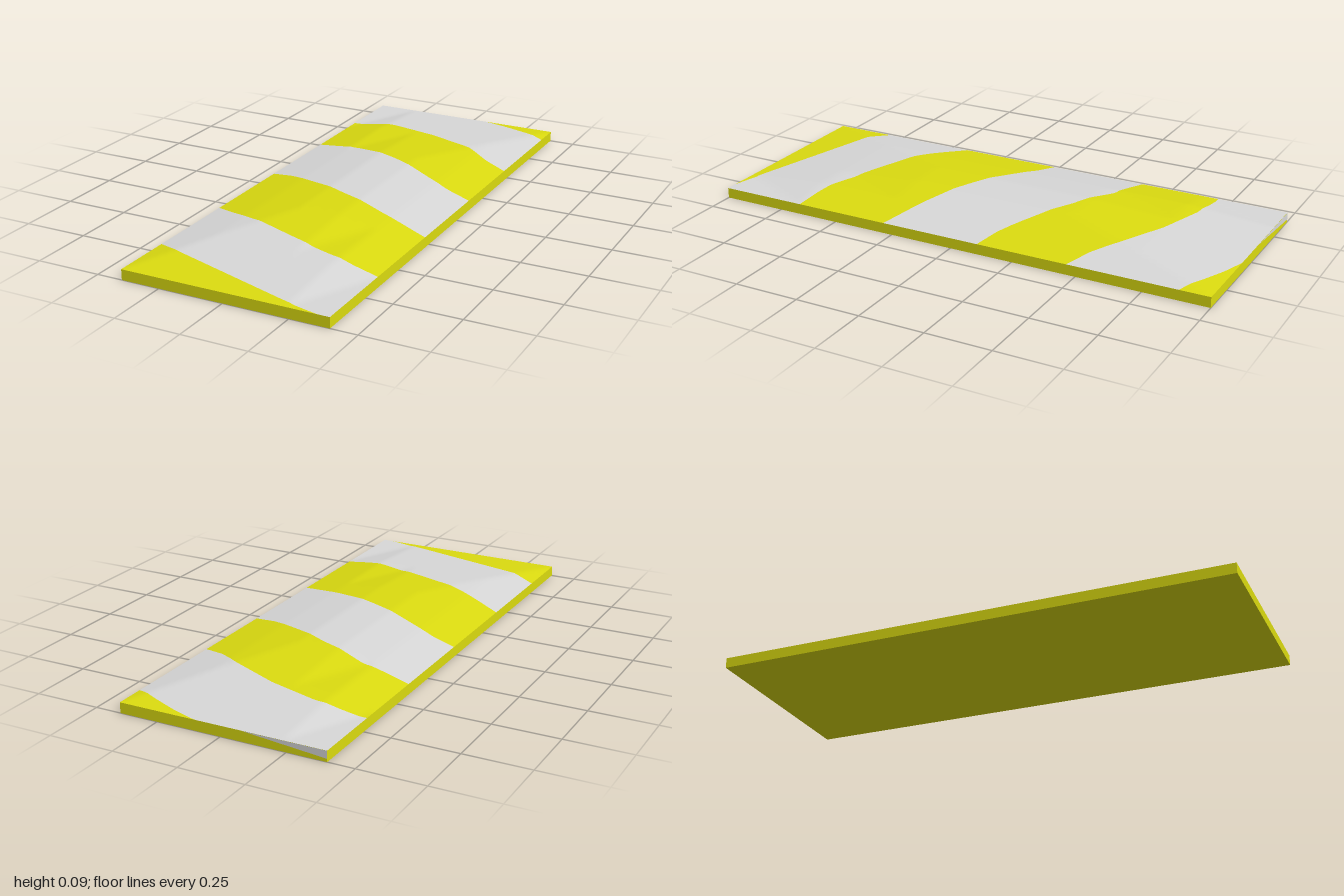
import * as THREE from 'three';

const xs = [-0.4, -0.24, -0.08, 0.08, 0.24, 0.4];
const zs = [-1, -0.667, -0.333, 0, 0.333, 0.667, 1];
const levels = [0.04, 0.066, 0.085, 0.085];

// Height of the stepped, faceted dome: a coarse grid rising in rings
function heightAt(x, z) {
  const cell = (list, v) => {
    let i = 0;
    while (i < list.length - 2 && v > list[i + 1]) i++;
    return [i, (v - list[i]) / (list[i + 1] - list[i])];
  };
  const [i, u] = cell(xs, x);
  const [j, v] = cell(zs, z);
  const h = (a, b) => levels[Math.min(a, 5 - a, b, 6 - b)];
  const b = h(i, j + 1), d = h(i + 1, j);
  if (u + v <= 1) {
    const a = h(i, j);
    return a + (d - a) * u + (b - a) * v;
  }
  const c = h(i + 1, j + 1);
  return c + (b - c) * (1 - u) + (d - c) * (1 - v);
}

// Wavy stripe edges: z at each of these x stations
const stations = [-0.4, -0.3, -0.2, 0, 0.2, 0.3, 0.4];
const edges = [
  [-1, -1, -1, -1, -1, -1, -1],
  [-1.1, -1.08, -1.06, -1.03, -0.97, -0.93, -0.885],
  [-0.725, -0.726, -0.72, -0.665, -0.58, -0.51, -0.465],
  [-0.41, -0.39, -0.375, -0.295, -0.19, -0.14, -0.11],
  [-0.025, 0, 0.045, 0.135, 0.215, 0.25, 0.285],
  [0.38, 0.43, 0.475, 0.55, 0.62, 0.645, 0.66],
  [0.76, 0.81, 0.84, 0.9, 0.96, 0.987, 1.01],
  [1, 1, 1, 1, 1, 1, 1],
];

function edgeZ(edge, x) {
  let i = 0;
  while (i < stations.length - 2 && x > stations[i + 1]) i++;
  const t = (x - stations[i]) / (stations[i + 1] - stations[i]);
  return THREE.MathUtils.clamp(edge[i] + (edge[i + 1] - edge[i]) * t, -1, 1);
}

// One stripe of the dome between two edges
function stripeGeometry(near, far) {
  const nx = 50, nz = 18, pos = [], index = [];
  for (let i = 0; i <= nx; i++) {
    const x = -0.4 + (0.8 * i) / nx;
    const z0 = edgeZ(near, x), z1 = edgeZ(far, x);
    for (let j = 0; j <= nz; j++) {
      const z = z0 + ((z1 - z0) * j) / nz;
      pos.push(x, heightAt(x, z), z);
    }
  }
  const row = nz + 1;
  for (let i = 0; i < nx; i++) {
    for (let j = 0; j < nz; j++) {
      const a = i * row + j, b = a + 1, c = a + row + 1, d = a + row;
      const open0 = pos[b * 3 + 2] - pos[a * 3 + 2] > 1e-5;
      const open1 = pos[c * 3 + 2] - pos[d * 3 + 2] > 1e-5;
      if (open0) index.push(a, b, c);
      if (open1) index.push(a, c, d);
    }
  }
  const geo = new THREE.BufferGeometry();
  geo.setAttribute('position', new THREE.Float32BufferAttribute(pos, 3));
  geo.setIndex(index);
  geo.computeVertexNormals();
  return geo;
}

export function createModel() {
  const group = new THREE.Group();
  group.name = 'stripedRamp';
  const yellow = new THREE.MeshStandardMaterial({ color: 0xdcdc10 });
  yellow.name = 'yellow';
  const grey = new THREE.MeshStandardMaterial({ color: 0xd8d8d8 });
  grey.name = 'lightGrey';

  const add = (geo, mat, name) => {
    const mesh = new THREE.Mesh(geo, mat);
    mesh.name = name;
    group.add(mesh);
    return mesh;
  };

  // Base slab, open at the top where the dome sits
  const slab = new THREE.BoxGeometry(0.8, 0.04, 2).translate(0, 0.02, 0);
  const faces = Array.from(slab.index.array);
  faces.splice(12, 6);
  slab.setIndex(faces);
  slab.clearGroups();
  add(slab, yellow, 'baseSlab');

  // Alternating stripes over the dome
  for (let i = 0; i < edges.length - 1; i++) {
    const isYellow = i % 2 === 0;
    add(stripeGeometry(edges[i], edges[i + 1]), isYellow ? yellow : grey,
      (isYellow ? 'yellowStripe' : 'greyStripe') + (i + 1));
  }

  // Grey wedge where a stripe runs over the back edge
  const wedge = new THREE.Shape([
    new THREE.Vector2(0.08, 0.04),
    new THREE.Vector2(0.4, 0.012),
    new THREE.Vector2(0.4, 0.04),
  ]);
  const plate = add(new THREE.ShapeGeometry(wedge), grey, 'backWedge');
  plate.rotation.y = Math.PI;
  plate.position.z = -1.001;

  return group;
}
